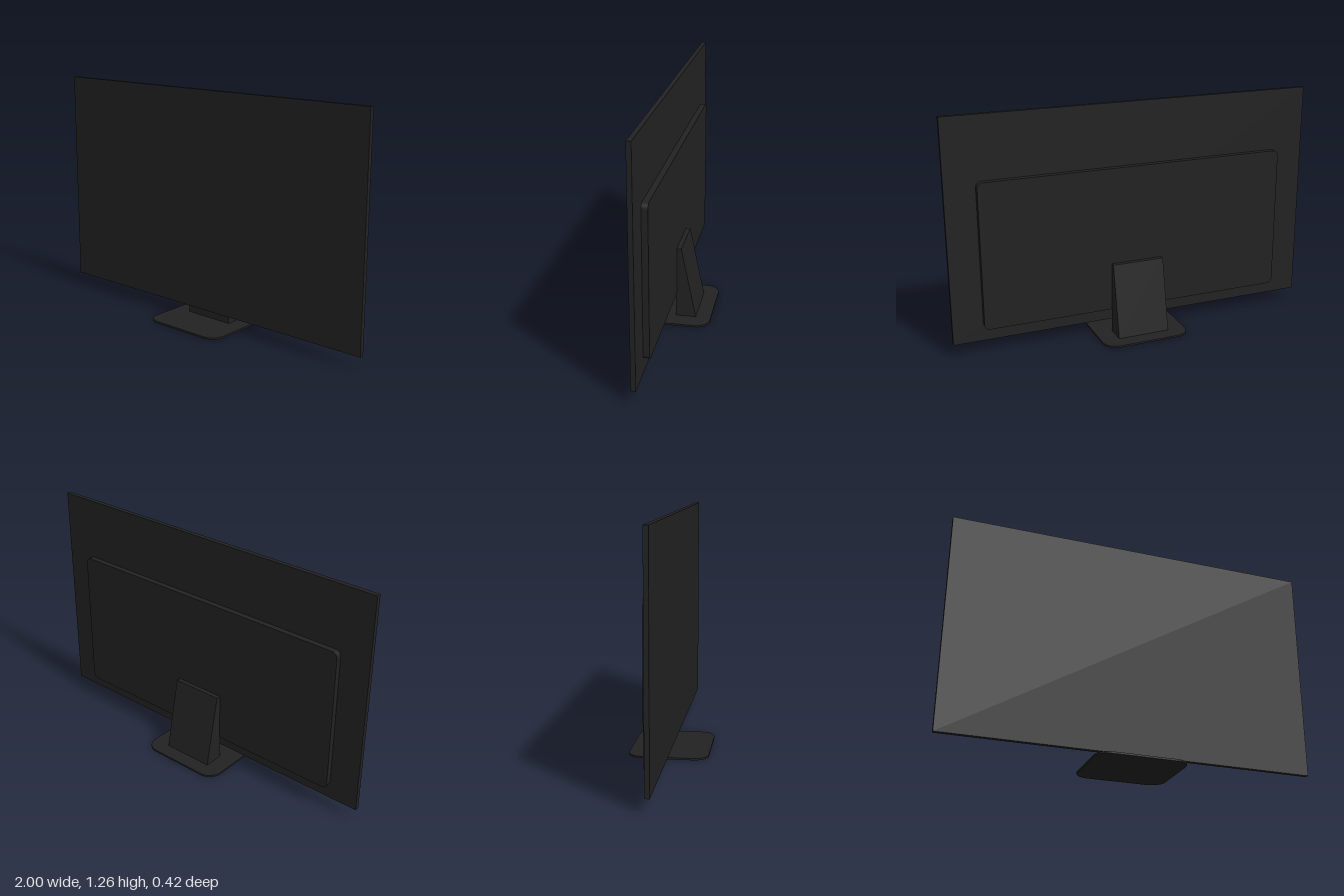
import * as THREE from 'three';

// Rounded rectangle centred on the origin
function roundedRect(w, h, r) {
  const x = w / 2, y = h / 2, s = new THREE.Shape();
  s.moveTo(-x + r, -y);
  s.lineTo(x - r, -y);
  s.absarc(x - r, -y + r, r, -Math.PI / 2, 0);
  s.lineTo(x, y - r);
  s.absarc(x - r, y - r, r, 0, Math.PI / 2);
  s.lineTo(-x + r, y);
  s.absarc(-x + r, y - r, r, Math.PI / 2, Math.PI);
  s.lineTo(-x, -y + r);
  s.absarc(-x + r, -y + r, r, Math.PI, Math.PI * 1.5);
  return s;
}

const extrude = (shape, depth) =>
  new THREE.ExtrudeGeometry(shape, { depth, bevelEnabled: false, curveSegments: 10 });

export function createModel() {
  const model = new THREE.Group();
  model.name = 'monitor';
  const black = new THREE.MeshStandardMaterial({ color: 0x222222 });
  black.name = 'matte black';

  const add = (name, geometry) => {
    const mesh = new THREE.Mesh(geometry, black);
    mesh.name = name;
    model.add(mesh);
  };

  // Thin display panel
  add('screenPanel', new THREE.BoxGeometry(2, 1.19, 0.024).translate(0, 0.665, 0.017));

  // Electronics housing on the back, with rounded corners
  add('rearHousing', extrude(roundedRect(1.68, 0.785, 0.03), 0.031).translate(0, 0.5325, -0.026));

  // Wedge-shaped stand, profile drawn as (z, y) and swept across x
  const wedge = new THREE.Shape([
    [-0.13, 0.008], [-0.022, 0.008], [-0.022, 0.402], [-0.05, 0.402],
  ].map(([z, y]) => new THREE.Vector2(-z, y)));
  add('standNeck', extrude(wedge, 0.285).rotateY(Math.PI / 2).translate(-0.1425, 0, 0));

  // Flat foot plate
  add('standBase', extrude(roundedRect(0.48, 0.42, 0.075), 0.01).rotateX(-Math.PI / 2));

  return model;
}
